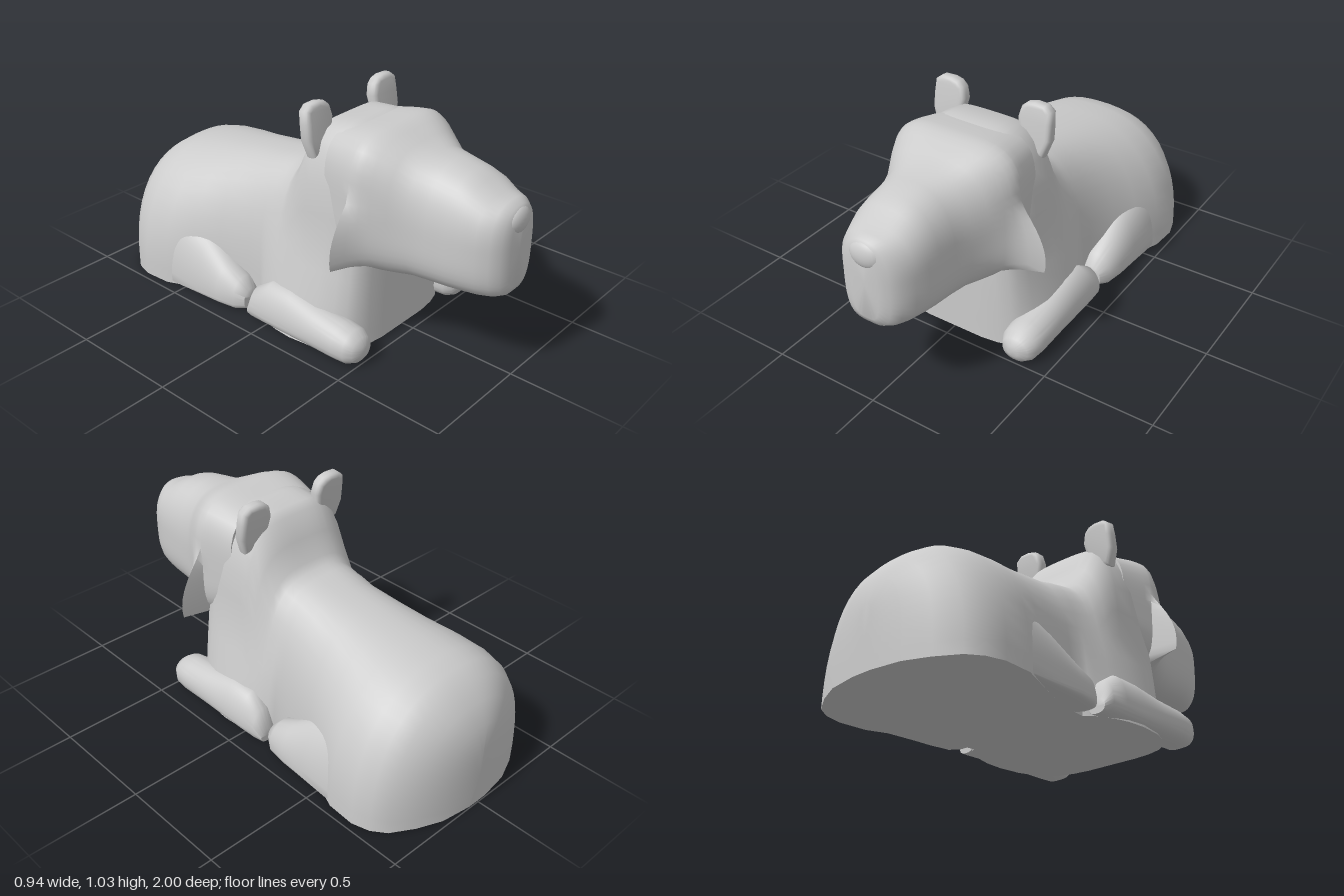
import * as THREE from 'three';
import { toCreasedNormals } from 'three/addons/utils/BufferGeometryUtils.js';

const material = new THREE.MeshStandardMaterial({ color: 0xcccccc, side: THREE.DoubleSide });
const SEG = 56;

// Superellipse sections along z: [z, halfWidth, yLow, yMid, yTop, topExponent, centreX]
// widen(x, y, z) may reshape the half-width locally
function loft(sections, { side = 1, lowExponent = 4, widen = (x) => x } = {}) {
  const pos = [], idx = [];
  for (const [z, w, low, mid, top, n, cx = 0] of sections) {
    for (let j = 0; j < SEG; j++) {
      const a = (j / SEG) * Math.PI * 2, c = Math.cos(a), s = Math.sin(a);
      const e = s >= 0 ? n : lowExponent;
      const r = (Math.abs(c) ** e + Math.abs(s) ** e) ** (-1 / e);
      const y = mid + s * r * (s >= 0 ? top - mid : mid - low);
      pos.push(cx * side + widen(c * r * w, y, z), y, z);
    }
  }
  const last = sections.length - 1;
  for (let i = 0; i < last; i++) {
    for (let j = 0; j < SEG; j++) {
      const k = (j + 1) % SEG, a = i * SEG + j, b = i * SEG + k;
      idx.push(a, b, b + SEG, a, b + SEG, a + SEG);
    }
  }
  // end caps
  for (const i of [0, last]) {
    const [z, , low, , top, , cx = 0] = sections[i];
    const centre = pos.length / 3;
    pos.push(cx * side, (low + top) / 2, z);
    for (let j = 0; j < SEG; j++) {
      const a = i * SEG + j, b = i * SEG + (j + 1) % SEG;
      if (i) idx.push(centre, a, b); else idx.push(centre, b, a);
    }
  }
  const g = new THREE.BufferGeometry();
  g.setAttribute('position', new THREE.Float32BufferAttribute(pos, 3));
  g.setIndex(idx);
  return toCreasedNormals(g, 0.95);
}

// Shoulders and upper arms: the chest spreads towards the ground
function shoulderFlare(x, y, z) {
  if (z < -0.13 || z > 0.43 || y > 0.45) return x;
  const along = Math.sin(Math.PI * (z + 0.13) / 0.56) ** 0.6;
  return x * (1 + 0.36 * along * (1 - y / 0.45));
}

// Cheek ruff: a thin flared edge behind the jaw that blends forward into the face
function cheekFlare(x, y, z) {
  if (z < 0.38 || z > 0.535 || y > 0.72 || y < 0.408) return x;
  const edge = 0.31 + 0.115 * Math.sin(2 * (0.72 - y) / 0.31);
  const blend = Math.min(1, 1 - (z - 0.385) / 0.15) ** 4;
  const outer = Math.abs(x) > 0.2 ? Math.max(0, edge - Math.abs(x)) : 0;
  return x + Math.sign(x) * outer * blend;
}

export function createModel() {
  const group = new THREE.Group();
  const add = (name, geometry) => {
    const mesh = new THREE.Mesh(geometry, material);
    mesh.name = name;
    group.add(mesh);
    return mesh;
  };

  // Flat-bottomed body rising into the neck
  add('body', loft([
    [-0.985, 0.1, 0, 0, 0.2, 2.6], [-1.0, 0.06, 0.12, 0.12, 0.28, 2.4], [-0.975, 0.19, 0, 0, 0.38, 2.7],
    [-0.93, 0.3, 0, 0, 0.46, 2.6],
    [-0.87, 0.40, 0, 0, 0.525, 2.5], [-0.81, 0.445, 0, 0, 0.565, 2.4], [-0.73, 0.468, 0, 0, 0.585, 2.35],
    [-0.6, 0.46, 0, 0, 0.605, 2.3], [-0.48, 0.41, 0, 0, 0.62, 2.4], [-0.35, 0.355, 0, 0, 0.64, 2.6],
    [-0.2, 0.315, 0, 0, 0.66, 2.8], [-0.13, 0.308, 0, 0, 0.675, 3], [-0.11, 0.306, 0, 0, 0.678, 3],
    [-0.08, 0.305, 0, 0, 0.683, 3.1], [-0.03, 0.305, 0, 0, 0.69, 3.2], [0, 0.305, 0, 0, 0.72, 3.4],
    [0.05, 0.305, 0, 0, 0.81, 3.7], [0.1, 0.302, 0, 0, 0.91, 4.2], [0.14, 0.302, 0, 0, 0.935, 4.4],
    [0.25, 0.3, 0, 0, 0.945, 4.4], [0.33, 0.292, 0, 0, 0.94, 4.2], [0.38, 0.28, 0, 0, 0.9, 4],
    [0.41, 0.26, 0, 0, 0.8, 3.4], [0.43, 0.22, 0, 0, 0.6, 3], [0.44, 0.14, 0, 0, 0.45, 3],
  ].slice(1).map((s, i) => (i ? s : [-0.995, 0.05, 0, 0, 0.28, 2.5])), { widen: shoulderFlare }));

  // Head with flared cheeks, tapering to a blunt muzzle
  add('head', loft([
    [0.22, 0.27, 0.44, 0.62, 0.93, 4.2], [0.34, 0.297, 0.37, 0.62, 0.953, 4.2], [0.375, 0.305, 0.36, 0.62, 0.956, 4.2],
    [0.385, 0.306, 0.356, 0.62, 0.957, 4.2], [0.41, 0.306, 0.354, 0.62, 0.957, 4], [0.435, 0.298, 0.353, 0.62, 0.953, 3.8],
    [0.47, 0.284, 0.352, 0.62, 0.942, 3.5], [0.53, 0.255, 0.355, 0.61, 0.915, 3], [0.6, 0.22, 0.36, 0.6, 0.885, 2.5],
    [0.68, 0.203, 0.36, 0.6, 0.876, 2.4], [0.77, 0.195, 0.365, 0.6, 0.858, 2.4], [0.83, 0.187, 0.37, 0.6, 0.835, 2.5],
    [0.89, 0.17, 0.372, 0.6, 0.795, 2.6], [0.94, 0.145, 0.378, 0.6, 0.785, 2.6], [0.973, 0.112, 0.39, 0.6, 0.77, 2.5],
    [0.988, 0.065, 0.42, 0.6, 0.74, 2.3],
  ], { lowExponent: 3.6, widen: cheekFlare }));

  // Small soft nose on the muzzle front
  const nose = add('nose', new THREE.SphereGeometry(1, 24, 16));
  nose.scale.set(0.075, 0.06, 0.035);
  nose.position.set(0, 0.705, 0.965);

  for (const side of [1, -1]) {
    const label = side > 0 ? 'left' : 'right';

    // Foreleg and paw
    add(label + 'Foreleg', loft([
      [-0.115, 0.04, 0, 0.03, 0.06, 2, 0.37], [-0.08, 0.065, 0, 0.06, 0.15, 2, 0.365], [0.0, 0.085, 0, 0.06, 0.2, 2, 0.35],
      [0.12, 0.09, 0, 0.06, 0.2, 2, 0.345], [0.26, 0.09, 0, 0.07, 0.175, 2, 0.347], [0.4, 0.09, 0, 0.075, 0.162, 2, 0.35],
      [0.46, 0.083, 0, 0.075, 0.15, 2, 0.35], [0.495, 0.062, 0.015, 0.075, 0.125, 2, 0.35],
      [0.512, 0.025, 0.045, 0.075, 0.095, 2, 0.35],
    ], { side, lowExponent: 2.5 }));

    // Folded hind leg merging into the haunch
    add(label + 'HindLeg', loft([
      [-0.72, 0.11, 0, 0.02, 0.34, 2, 0.33], [-0.55, 0.13, 0, 0.02, 0.33, 2, 0.32], [-0.4, 0.125, 0, 0.03, 0.27, 2, 0.318],
      [-0.28, 0.1, 0, 0.04, 0.19, 2, 0.338], [-0.19, 0.08, 0, 0.05, 0.145, 2, 0.345], [-0.145, 0.045, 0.01, 0.05, 0.1, 2, 0.35],
    ], { side }));

    // Upright ear, leaning back slightly
    const outline = [[0.16, 0.82], [0.132, 0.95], [0.145, 1.0], [0.17, 1.022], [0.205, 1.03],
      [0.255, 1.028], [0.285, 1.005], [0.29, 0.95], [0.292, 0.88], [0.265, 0.8]];
    const shape = new THREE.Shape(outline.map(([x, y]) => new THREE.Vector2(x * side, y)));
    const ear = new THREE.ExtrudeGeometry(shape, {
      depth: 0.02, bevelSize: 0.02, bevelThickness: 0.02, bevelOffset: -0.02, bevelSegments: 3,
    });
    ear.translate(0, -0.84, 0).rotateX(-0.13).translate(0, 0.84, 0.13);
    add(label + 'Ear', toCreasedNormals(ear, 0.9));
  }
  return group;
}
